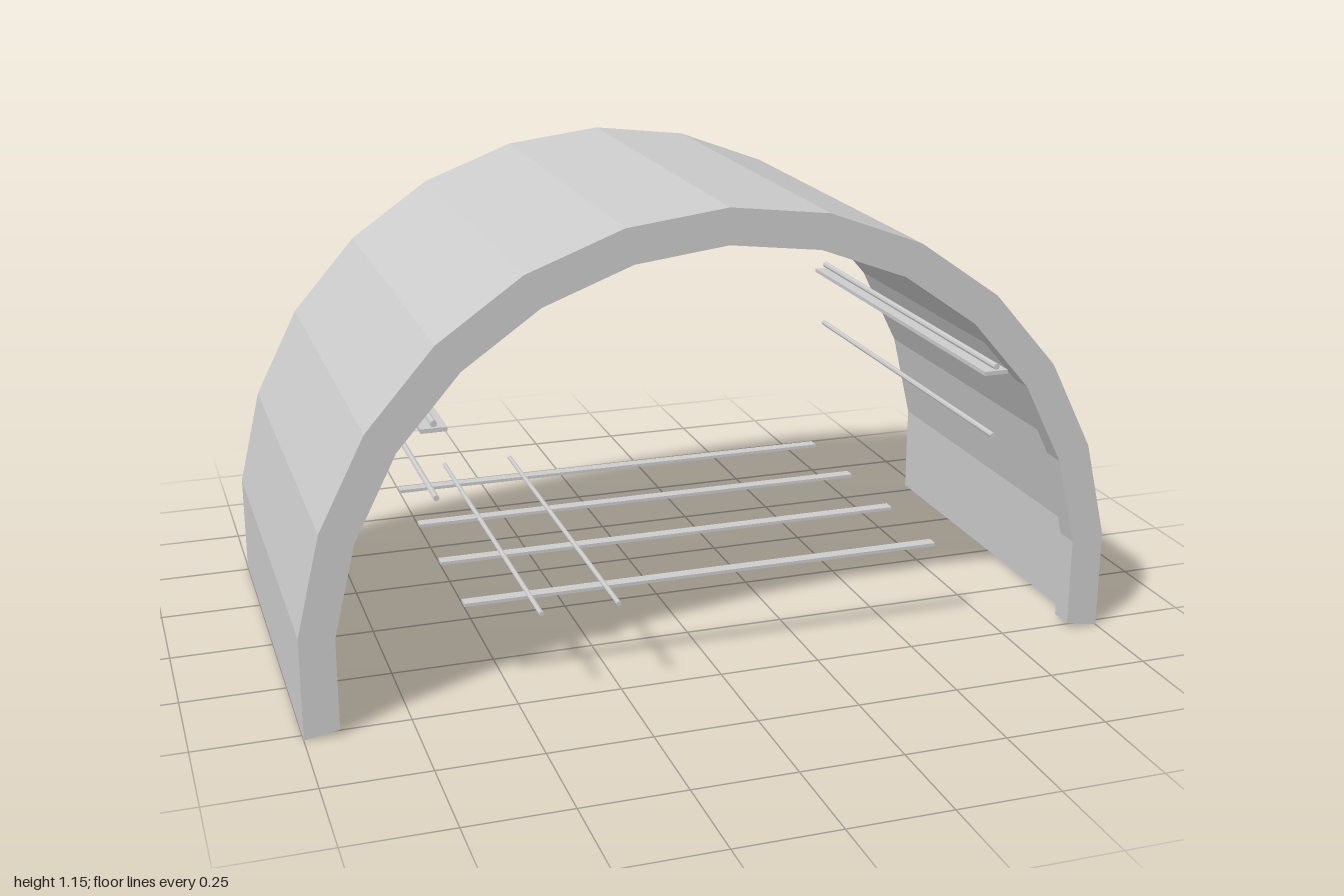
import * as THREE from 'three';

const HALF = 0.525;      // half length of the tunnel
const RING_DEPTH = 0.06; // thick rim at the front
const mat = new THREE.MeshStandardMaterial({ color: 0xcccccc, flatShading: true });

// Outer half profile, from the foot up to the crown
const PROFILE = [[1, 0], [1, 0.248], [0.943, 0.487], [0.833, 0.705], [0.672, 0.89],
  [0.472, 1.03], [0.242, 1.117], [0, 1.147]];

// Full arch outline, shrunk towards a point on the centre line
function archPoints(scale) {
  const half = PROFILE.map(([x, y]) => new THREE.Vector2(x * scale, 0.1 + (y - 0.1) * scale));
  half[0].y = (1 - scale) * 0.17;
  const mirrored = half.slice(0, -1).reverse().map(p => new THREE.Vector2(-p.x, p.y));
  return [...half, ...mirrored];
}

// Arch band of a given inner scale between two z positions
function arch(name, innerScale, z0, z1) {
  const shape = new THREE.Shape([...archPoints(1), ...archPoints(innerScale).reverse()]);
  const geo = new THREE.ExtrudeGeometry(shape, { depth: z1 - z0, bevelEnabled: false });
  const mesh = new THREE.Mesh(geo, mat);
  mesh.position.z = z0;
  mesh.name = name;
  return mesh;
}

function box(name, w, h, d, x, y, z) {
  const mesh = new THREE.Mesh(new THREE.BoxGeometry(w, h, d), mat);
  mesh.position.set(x, y, z);
  mesh.name = name;
  return mesh;
}

// Thin round bar running the length of the tunnel
function rod(name, radius, x, y) {
  const geo = new THREE.CylinderGeometry(radius, radius, HALF * 2, 8).rotateX(Math.PI / 2);
  const mesh = new THREE.Mesh(geo, mat);
  mesh.position.set(x, y, 0);
  mesh.name = name;
  return mesh;
}

export function createModel() {
  const model = new THREE.Group();
  model.name = 'tunnelSection';

  // Lining and the thicker front rim
  model.add(arch('tunnelShell', 0.96, -HALF, HALF - RING_DEPTH));
  model.add(arch('frontRing', 0.918, HALF - RING_DEPTH, HALF));

  // Sleepers with two rails
  for (let i = 0; i < 4; i++) {
    model.add(box('sleeper', 1.2, 0.008, 0.03, 0, 0.222, -0.39 + i * 0.26));
  }
  for (const x of [-0.447, -0.262]) model.add(rod('rail', 0.006, x, 0.231));

  // Cable trays, cables and pipes on both sides
  for (const s of [-1, 1]) {
    model.add(box('cableTray', 0.06, 0.01, HALF * 2, s * 0.68, 0.699, 0));
    model.add(rod('cable', 0.008, s * 0.68, 0.714));
    model.add(rod('pipe', 0.007, s * 0.68, 0.541));
  }

  // Slim strip under the crown
  model.add(box('crownStrip', 0.06, 0.012, HALF * 2, 0, 1.088, 0));
  return model;
}
